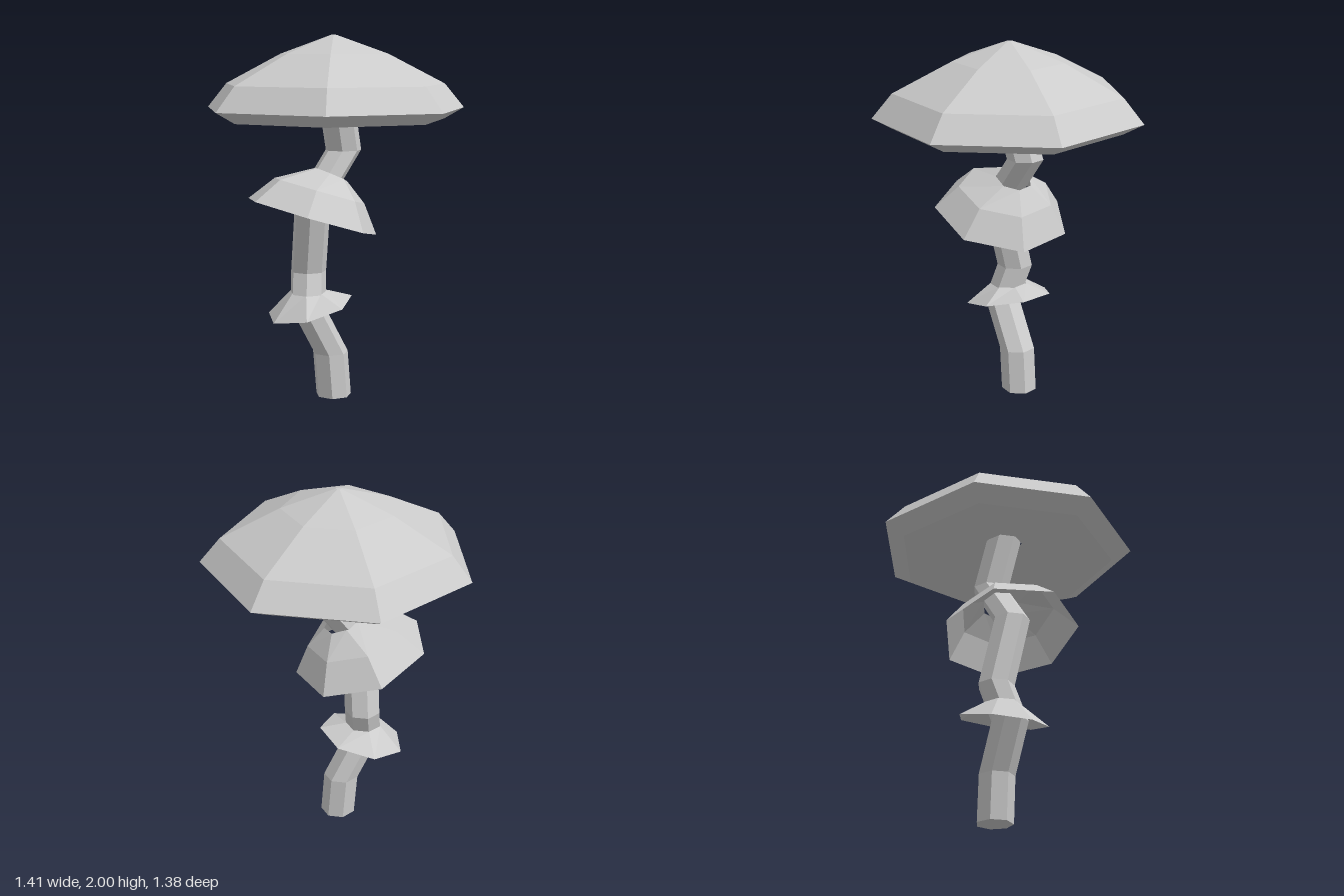
import * as THREE from 'three';

const SIDES = 7;

// Seven-sided ring with a corner towards the back: [x, y, z, radius, tilt about z]
function ringPoint([x, y, z, r, tilt = 0], j) {
  const a = (j / SIDES) * Math.PI * 2;
  const u = r * Math.sin(a);
  return [x + u * Math.cos(tilt), y + u * Math.sin(tilt), z - r * Math.cos(a)];
}

// Faceted skin through a list of rings, ordered from the bottom upwards
function loft(name, rings, { capStart = false, capEnd = false, open = false } = {}) {
  const pos = [];
  const tri = (a, b, c) => pos.push(...a, ...b, ...c);
  const first = rings[0];
  const last = rings[rings.length - 1];
  for (let j = 0; j < SIDES; j++) {
    for (let i = 0; i < rings.length - 1; i++) {
      const a = ringPoint(rings[i], j), b = ringPoint(rings[i + 1], j);
      const c = ringPoint(rings[i], j + 1), d = ringPoint(rings[i + 1], j + 1);
      tri(a, b, c);
      tri(c, b, d);
    }
    if (capStart) tri(first.slice(0, 3), ringPoint(first, j), ringPoint(first, j + 1));
    if (capEnd) tri(last.slice(0, 3), ringPoint(last, j + 1), ringPoint(last, j));
  }
  const geo = new THREE.BufferGeometry();
  geo.setAttribute('position', new THREE.Float32BufferAttribute(pos, 3));
  geo.computeVertexNormals();
  const mesh = new THREE.Mesh(geo, new THREE.MeshStandardMaterial({
    color: 0xcccccc,
    flatShading: true,
    side: open ? THREE.DoubleSide : THREE.FrontSide,
  }));
  mesh.name = name;
  return mesh;
}

export function createModel() {
  const group = new THREE.Group();
  group.name = 'mushroom';

  // Crooked stem
  group.add(loft('stem', [
    [0.02, 0, -0.015, 0.1],
    [0, 0.25, -0.015, 0.1],
    [-0.138, 0.51, -0.005, 0.1],
    [-0.108, 0.71, -0.07, 0.1],
    [-0.118, 1.11, 0.02, 0.1],
    [0.078, 1.38, -0.015, 0.1],
    [0.01, 1.68, 0.035, 0.1],
  ], { capStart: true, capEnd: true }));

  // Small collar, rising to the left
  group.add(loft('lowerCollar', [
    [-0.115, 0.51, -0.035, 0.245, 0.25],
    [-0.125, 0.6, -0.04, 0.1],
  ], { open: true }));

  // Middle cap, dipping to the left
  group.add(loft('middleCap', [
    [-0.12, 1.025, 0.01, 0.376, -0.304],
    [-0.076, 1.165, 0.01, 0.263, -0.304],
    [-0.005, 1.25, 0.005, 0.1, -0.42],
  ], { open: true }));

  // Large top cap: hollow underside, bevelled rim and dome
  const cap = [[1.66, 0.1], [1.55, 0.615], [1.61, 0.725], [1.74, 0.615], [1.9, 0.3], [2, 0.015]];
  group.add(loft('topCap', cap.map(([y, r]) => [0, y, 0.035, r]), { capEnd: true }));

  return group;
}
